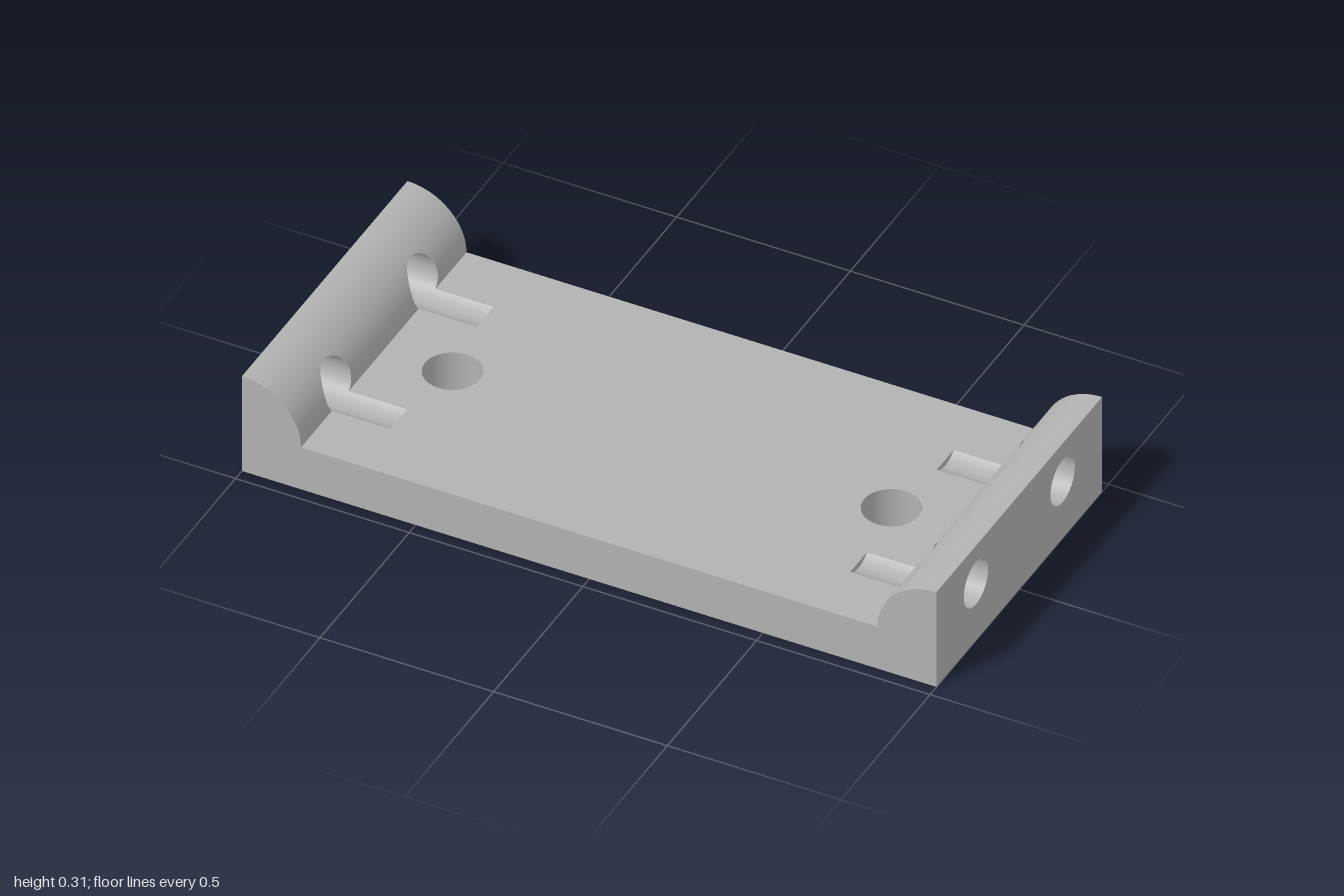
import * as THREE from 'three';
import { ParametricGeometry } from 'three/addons/geometries/ParametricGeometry.js';

const D = 0.464;                          // half depth
const FLOOR = 0.135, R = 0.17;            // plate thickness, radius of the rounded end lips
const TOP = FLOOR + R, LIP = 1 - R;
const BY = 0.185, BZ = 0.243, BR = 0.0685; // bores through the lips
const GROOVE = 0.662;                     // where the bores end in the plate
const HX = 0.632, HR = 0.079;             // vertical bolt holes
const A = Math.asin((BY - FLOOR) / BR);   // bore angle at plate level
const W = BR * Math.cos(A);               // half width of groove at plate level

const circle = (x, y, r) => new THREE.Path().absarc(x, y, r, 0, Math.PI * 2, true);
const polygon = (pts) => new THREE.Shape(pts.map(([x, y]) => new THREE.Vector2(x, y)));
const lipX = (y) => 1 - Math.sqrt(Math.max(0, R * R - (y - FLOOR) ** 2));
const surface = (f, nu, nv) =>
  new ParametricGeometry((u, v, p) => p.set(...f(u, v)), nu, nv);

export function createModel() {
  const model = new THREE.Group();
  model.name = 'bracket';
  const grey = new THREE.MeshStandardMaterial({ color: 0xb2b2b2 });
  grey.name = 'grey';
  const add = (parent, name, geometry) => {
    const mesh = new THREE.Mesh(geometry, grey);
    mesh.name = name;
    parent.add(mesh);
    return mesh;
  };

  // Underside with bolt holes
  const under = polygon([[-1, -D], [1, -D], [1, D], [-1, D]]);
  under.holes.push(circle(HX, 0, HR), circle(-HX, 0, HR));
  add(model, 'underside', new THREE.ShapeGeometry(under, 32).rotateX(Math.PI / 2));

  // Plate top, notched where the grooves run in
  const right = [];
  for (const z of [-BZ, BZ]) {
    right.push([LIP, z - W], [GROOVE, z - W], [GROOVE, z + W], [LIP, z + W]);
  }
  const edge = [[LIP, -D], ...right, [LIP, D]];
  const floor = polygon([...edge, ...edge.map(([x, z]) => [-x, -z])]);
  floor.holes.push(circle(HX, 0, HR), circle(-HX, 0, HR));
  add(model, 'plateTop',
    new THREE.ShapeGeometry(floor, 32).rotateX(-Math.PI / 2).translate(0, FLOOR, 0));

  // Front and back walls follow the side profile
  const profile = new THREE.Shape();
  profile.moveTo(-1, 0);
  profile.lineTo(1, 0);
  profile.lineTo(1, TOP);
  profile.absarc(1, FLOOR, R, Math.PI / 2, Math.PI, false);
  profile.lineTo(-LIP, FLOOR);
  profile.absarc(-1, FLOOR, R, 0, Math.PI / 2, false);
  for (const [name, turn] of [['frontWall', 0], ['backWall', Math.PI]]) {
    add(model, name, new THREE.ShapeGeometry(profile, 32).translate(0, 0, D).rotateY(turn));
  }

  // Each end: outer face, rounded lip, two bores and grooves
  for (const [name, turn] of [['leftEnd', 0], ['rightEnd', Math.PI]]) {
    const end = new THREE.Group();
    end.name = name;
    end.rotation.y = turn;
    model.add(end);

    const face = polygon([[-D, 0], [D, 0], [D, TOP], [-D, TOP]]);
    face.holes.push(circle(BZ, BY, BR), circle(-BZ, BY, BR));
    add(end, 'endFace',
      new THREE.ShapeGeometry(face, 32).rotateY(Math.PI / 2).translate(1, 0, 0));

    // Lower lip, in spans around the bore openings
    const spans = [
      () => [-D, -BZ], () => [-BZ, BZ], () => [BZ, D],
    ];
    spans.forEach((span, i) => {
      add(end, 'lipSpan', surface((u, v) => {
        const phi = -A + v * (Math.PI / 2 + A);
        const y = BY + BR * Math.sin(phi), w = BR * Math.cos(phi);
        const [a, b] = span();
        const z0 = i > 0 ? a + w : a, z1 = i < 2 ? b - w : b;
        return [lipX(y), y, z0 + (z1 - z0) * u];
      }, 1, 32));
    });

    // Upper lip, above the bores
    const t0 = Math.asin((BY + BR - FLOOR) / R);
    add(end, 'lipCrest', surface((u, v) => {
      const t = t0 + v * (Math.PI / 2 - t0);
      return [1 - R * Math.cos(t), FLOOR + R * Math.sin(t), D * (2 * u - 1)];
    }, 1, 20));

    for (const z of [-BZ, BZ]) {
      const bore = (start, sweep, inner) => surface((u, v) => {
        const phi = start + sweep * u;
        const y = BY + BR * Math.sin(phi), x0 = inner(y);
        return [x0 + (1 - x0) * v, y, z + BR * Math.cos(phi)];
      }, 64, 1);
      add(end, 'bore', bore(-A, Math.PI + 2 * A, lipX));
      add(end, 'groove', bore(Math.PI + A, Math.PI - 2 * A, () => GROOVE));
      const stop = new THREE.Shape().absarc(z, BY, BR, Math.PI + A, 2 * Math.PI - A, false);
      add(end, 'grooveStop',
        new THREE.ShapeGeometry(stop, 24).rotateY(Math.PI / 2).translate(GROOVE, 0, 0));
    }

    // Wall of the bolt hole
    add(end, 'boltHole', surface((u, v) => {
      const t = u * Math.PI * 2;
      return [HX + HR * Math.cos(t), FLOOR * v, HR * Math.sin(t)];
    }, 64, 1));
  }
  return model;
}
